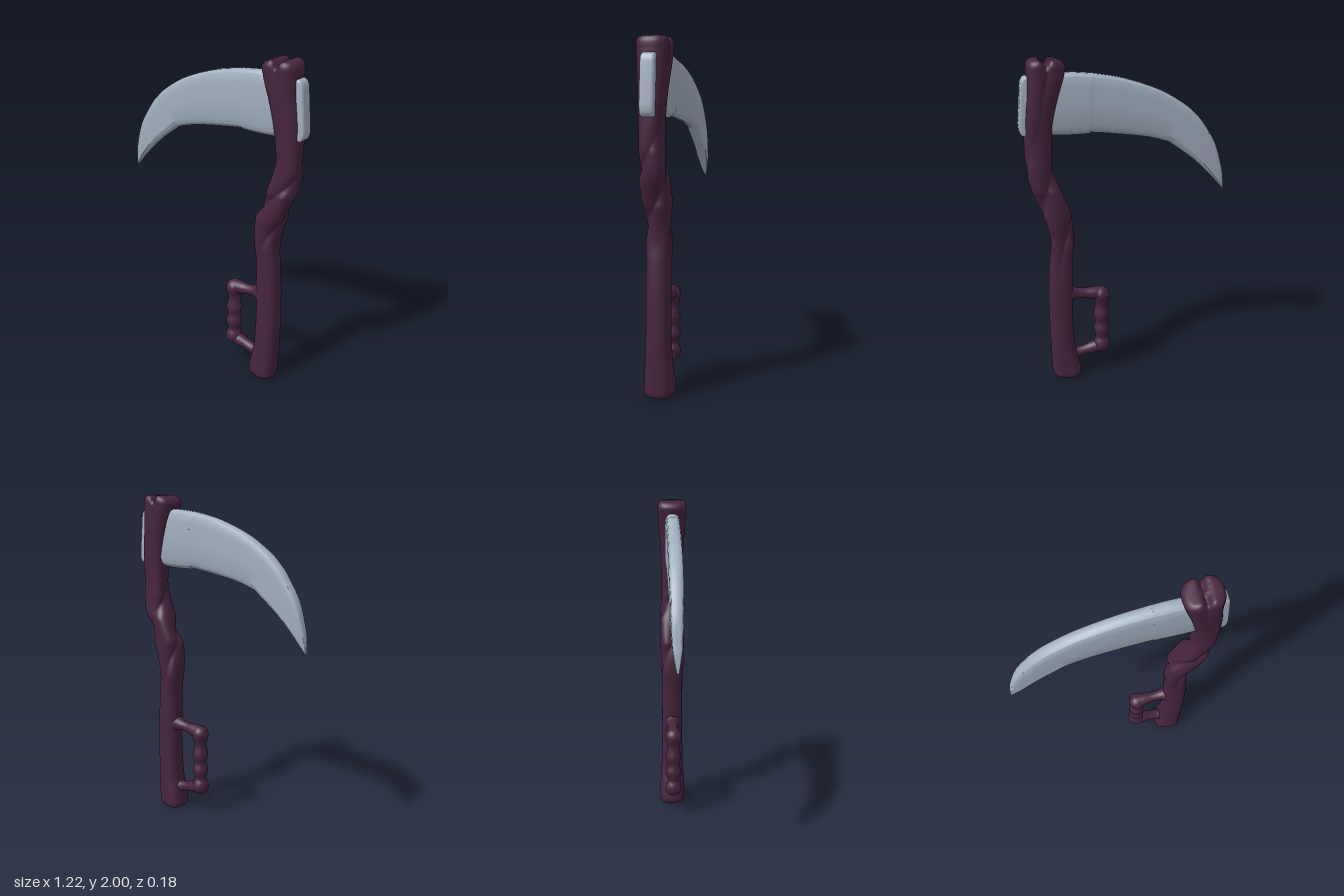
import * as THREE from 'three';
import { toCreasedNormals } from 'three/addons/utils/BufferGeometryUtils.js';

// Skin a list of closed rings (arrays of Vector3) and close both ends
function loft(rings) {
  const n = rings[0].length, pos = [], idx = [];
  rings.forEach(r => r.forEach(p => pos.push(p.x, p.y, p.z)));
  for (let i = 0; i < rings.length - 1; i++) {
    for (let j = 0; j < n; j++) {
      const k = (j + 1) % n;
      const a = i * n + j, b = i * n + k, c = a + n, d = b + n;
      idx.push(a, c, b, b, c, d);
    }
  }
  [0, rings.length - 1].forEach((ri, end) => {
    const mid = rings[ri].reduce((s, p) => s.add(p), new THREE.Vector3()).divideScalar(n);
    const m = pos.length / 3;
    pos.push(mid.x, mid.y, mid.z);
    for (let j = 0; j < n; j++) {
      const a = ri * n + j, b = ri * n + (j + 1) % n;
      if (end) idx.push(m, b, a); else idx.push(m, a, b);
    }
  });
  const g = new THREE.BufferGeometry();
  g.setAttribute('position', new THREE.Float32BufferAttribute(pos, 3));
  g.setIndex(idx);
  g.computeVertexNormals();
  return g;
}

// Smooth interpolation through evenly spaced rows of numbers
function sampleRows(rows, t) {
  const last = rows.length - 1;
  const i = Math.min(Math.floor(t), last - 1), f = t - i;
  const at = k => rows[Math.max(0, Math.min(last, k))];
  return rows[0].map((_, c) => {
    const a = at(i - 1)[c], b = at(i)[c], d = at(i + 1)[c], e = at(i + 2)[c];
    return b + 0.5 * f * (d - a + f * (2 * a - 5 * b + 4 * d - e + f * (3 * (b - d) + e - a)));
  });
}

// Shaft of two strands; rows every 0.1 in y: left x, right x, half depth, groove depth, twist / PI
const SHAFT = [
  [0.29, 0.47, 0.086, 0.16, 2.1], [0.303, 0.472, 0.082, 0.14, 2.1],
  [0.325, 0.475, 0.075, 0.06, 2.1], [0.332, 0.477, 0.07, 0.04, 2.1],
  [0.335, 0.477, 0.068, 0.04, 2.1], [0.335, 0.476, 0.067, 0.04, 2.1],
  [0.33, 0.474, 0.067, 0.06, 2.1], [0.327, 0.468, 0.067, 0.12, 2.1],
  [0.325, 0.46, 0.067, 0.18, 2.08], [0.316, 0.45, 0.069, 0.25, 2.0],
  [0.313, 0.462, 0.072, 0.3, 1.8], [0.325, 0.492, 0.076, 0.32, 1.5],
  [0.36, 0.53, 0.076, 0.32, 1.2], [0.398, 0.562, 0.073, 0.3, 0.85],
  [0.428, 0.572, 0.068, 0.22, 0.5], [0.425, 0.576, 0.066, 0.1, 0.25],
  [0.418, 0.576, 0.068, 0.06, 0.05], [0.4, 0.57, 0.073, 0.08, 0],
  [0.375, 0.557, 0.08, 0.16, 0], [0.345, 0.55, 0.087, 0.24, 0],
  [0.328, 0.55, 0.091, 0.28, 0]
];

function shaftGeometry() {
  const rings = [], N = 64;
  const ys = [0, 0.004, 0.012, 0.022, 0.035];
  for (let i = 3; i <= 117; i++) ys.push(i / 60);
  ys.push(1.962, 1.974, 1.985, 1.994, 1.999, 2);
  const caps = [0.9, 0.75, 0.5, 0.25];
  const addRing = (y, shrink) => {
    const [xl, xr, hd, d, tw] = sampleRows(SHAFT, y * 10);
    const e = Math.min(1, Math.min(y, 2 - y) / 0.04);
    const s = shrink * (0.72 + 0.28 * Math.sqrt(1 - (1 - e) ** 2));
    const sec = [];
    for (let j = 0; j < N; j++) {
      const a = j / N * Math.PI * 2, c = Math.cos(a), q = Math.sin(a);
      const round = (Math.abs(c) ** 2.6 + Math.abs(q) ** 2.6) ** (-1 / 2.6);
      const r = round * (1 - d + d * Math.abs(Math.cos(a - tw * Math.PI)));
      sec.push([r * c, r * q]);
    }
    const mx = Math.max(...sec.map(p => p[0])), mz = Math.max(...sec.map(p => p[1]));
    rings.push(sec.map(([u, v]) => {
      const x = (xl + xr) / 2 + u / mx * (xr - xl) / 2 * s;
      // cleft and sloping shoulder between the two strand ends
      const top = THREE.MathUtils.smoothstep(y, 1.9, 2);
      const dip = 0.035 * Math.exp(-(((x - 0.445) / 0.018) ** 2)) + 0.3 * Math.max(0, 0.41 - x);
      return new THREE.Vector3(x, y - top * dip, v / mz * hd * s);
    }));
  };
  [...caps].reverse().forEach(s => addRing(0, s));
  ys.forEach(y => addRing(y, 1));
  caps.forEach(s => addRing(2, s));
  return loft(rings);
}

// Blade stations from tip to root: spine x, y, edge x, y, half thickness
const BLADE = [
  [-0.614, 1.17, -0.61, 1.168, 0.006], [-0.608, 1.24, -0.575, 1.21, 0.018],
  [-0.595, 1.31, -0.53, 1.262, 0.027], [-0.55, 1.46, -0.42, 1.37, 0.035],
  [-0.47, 1.59, -0.3, 1.462, 0.039], [-0.42, 1.648, -0.275, 1.482, 0.04],
  [-0.35, 1.71, -0.24, 1.498, 0.041], [-0.2, 1.8, -0.13, 1.53, 0.042],
  [0, 1.872, 0.03, 1.557, 0.043], [0.17, 1.907, 0.19, 1.578, 0.044],
  [0.2, 1.911, 0.215, 1.572, 0.045], [0.33, 1.92, 0.37, 1.573, 0.045],
  [0.47, 1.9, 0.47, 1.585, 0.043]
];

function bladeGeometry() {
  // across the blade: fraction from spine to edge, fraction of thickness
  const half = [[0, 0.3], [0.015, 0.55], [0.045, 0.78], [0.1, 0.92], [0.2, 1],
    [0.5, 1], [0.84, 1], [0.94, 0.72], [1, 0.22]];
  const rings = [];
  for (let i = 0; i <= 72; i++) {
    const [tx, ty, bx, by, h] = sampleRows(BLADE, i / 72 * (BLADE.length - 1));
    const side = sgn => half.map(([t, w]) =>
      new THREE.Vector3(tx + (bx - tx) * t, ty + (by - ty) * t, sgn * w * h));
    rings.push([...side(-1), ...side(1).reverse()]);
  }
  return toCreasedNormals(loft(rings), 0.45);
}

// Rounded plate where the blade passes out of the back of the shaft
function buttGeometry() {
  const s = new THREE.Shape();
  s.moveTo(0.5, 1.9);
  s.lineTo(0.545, 1.9);
  s.quadraticCurveTo(0.568, 1.9, 0.572, 1.86);
  s.lineTo(0.592, 1.65);
  s.quadraticCurveTo(0.594, 1.595, 0.57, 1.595);
  s.lineTo(0.5, 1.6);
  s.closePath();
  const g = new THREE.ExtrudeGeometry(s, {
    depth: 0.05, bevelThickness: 0.015, bevelSize: 0.013, bevelSegments: 4, curveSegments: 8
  });
  g.translate(0, 0, -0.025);
  return toCreasedNormals(g, 0.7);
}

// Turned bar between two points; profile is a list of [distance fraction, radius]
function turnedBar(from, to, profile) {
  const a = new THREE.Vector3(...from), dir = new THREE.Vector3(...to).sub(a);
  const len = dir.length();
  const curve = new THREE.SplineCurve(profile.map(([t, r]) => new THREE.Vector2(r, t * len)));
  const pts = curve.getPoints(48).map(p => new THREE.Vector2(Math.max(0, p.x), p.y));
  const g = new THREE.LatheGeometry(pts, 24);
  g.applyQuaternion(new THREE.Quaternion().setFromUnitVectors(new THREE.Vector3(0, 1, 0), dir.normalize()));
  g.translate(a.x, a.y, a.z);
  return g;
}

export function createModel() {
  const wood = new THREE.MeshStandardMaterial({ color: 0x46243f });
  wood.name = 'dark plum wood';
  const steel = new THREE.MeshStandardMaterial({ color: 0xa2afc0 });
  steel.name = 'pale steel';

  const model = new THREE.Group();
  model.name = 'scythe';
  const add = (name, geometry, material) => {
    const mesh = new THREE.Mesh(geometry, material);
    mesh.name = name;
    model.add(mesh);
  };

  add('twistedShaft', shaftGeometry(), wood);
  add('blade', bladeGeometry(), steel);
  add('bladeButt', buttGeometry(), steel);

  // Side handle with finger swells
  add('handleGrip', turnedBar([0.153, 0.133, 0], [0.153, 0.592, 0], [
    [0, 0], [0.015, 0.025], [0.06, 0.046], [0.12, 0.053], [0.18, 0.047], [0.245, 0.036],
    [0.36, 0.05], [0.47, 0.038], [0.58, 0.05], [0.72, 0.037],
    [0.82, 0.047], [0.88, 0.053], [0.94, 0.046], [0.985, 0.025], [1, 0]
  ]), wood);
  const armProfile = [[0, 0.044], [0.25, 0.039], [0.5, 0.032], [0.75, 0.036], [1, 0.058]];
  add('handleUpperArm', turnedBar([0.153, 0.548, 0], [0.36, 0.572, 0], armProfile), wood);
  add('handleLowerArm', turnedBar([0.153, 0.18, 0], [0.36, 0.132, 0], armProfile), wood);

  return model;
}
